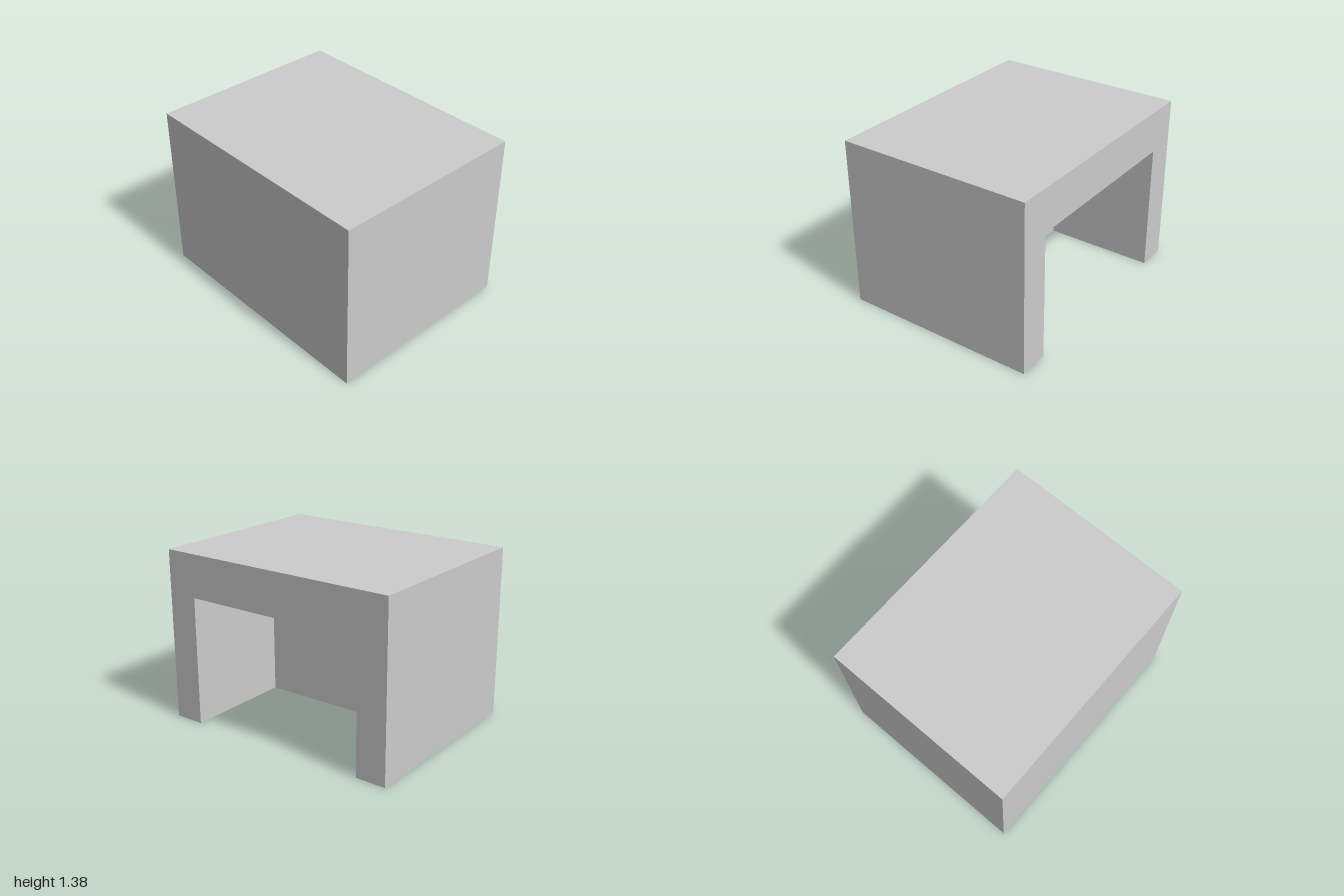
import * as THREE from 'three';

const W = 2, H = 1.376, D = 1.568;            // outer shell
const RW = 1.51, RH = 1.033, RD = 0.91;       // recess open to the back
const BW = 1.0, BD = 0.38;                    // block behind the recess

export function createModel() {
  const group = new THREE.Group();
  const material = new THREE.MeshStandardMaterial({ color: 0xcccccc, side: THREE.DoubleSide, flatShading: true });

  const add = (name, geometry, x, y, z, rx = 0, ry = 0) => {
    const mesh = new THREE.Mesh(geometry, material);
    mesh.name = name;
    mesh.position.set(x, y, z);
    mesh.rotation.set(rx, ry, 0);
    group.add(mesh);
  };
  const sheet = (w, h) => new THREE.PlaneGeometry(w, h);
  const quarter = Math.PI / 2;
  const recessZ = -D / 2 + RD;

  // Hollow outer shell, open underneath
  add('topPanel', sheet(W, D), 0, H, 0, -quarter);
  add('frontPanel', sheet(W, H), 0, H / 2, D / 2);

  // Back face: an arch-like outline around the opening
  const back = new THREE.Shape();
  back.moveTo(-W / 2, 0);
  back.lineTo(-RW / 2, 0);
  back.lineTo(-RW / 2, RH);
  back.lineTo(RW / 2, RH);
  back.lineTo(RW / 2, 0);
  back.lineTo(W / 2, 0);
  back.lineTo(W / 2, H);
  back.lineTo(-W / 2, H);
  back.closePath();
  add('backPanel', new THREE.ShapeGeometry(back), 0, 0, -D / 2, 0, Math.PI);

  // Outer sides and the recess sides, which face inwards
  for (const [side, s] of [['left', 1], ['right', -1]]) {
    add(side + 'Panel', sheet(D, H), s * W / 2, H / 2, 0, 0, s * quarter);
    add(side + 'RecessWall', sheet(RD, RH), s * RW / 2, RH / 2, -D / 2 + RD / 2, 0, -s * quarter);
  }

  // Recess ceiling and end wall
  add('recessCeiling', sheet(RW, RD), 0, RH, -D / 2 + RD / 2, quarter);
  add('recessEndWall', sheet(RW, RH), 0, RH / 2, recessZ, 0, Math.PI);

  // Block standing in the hollow between the recess and the front
  add('innerBlock', new THREE.BoxGeometry(BW, RH, BD), 0, RH / 2, recessZ + BD / 2 + 0.002);

  return group;
}
